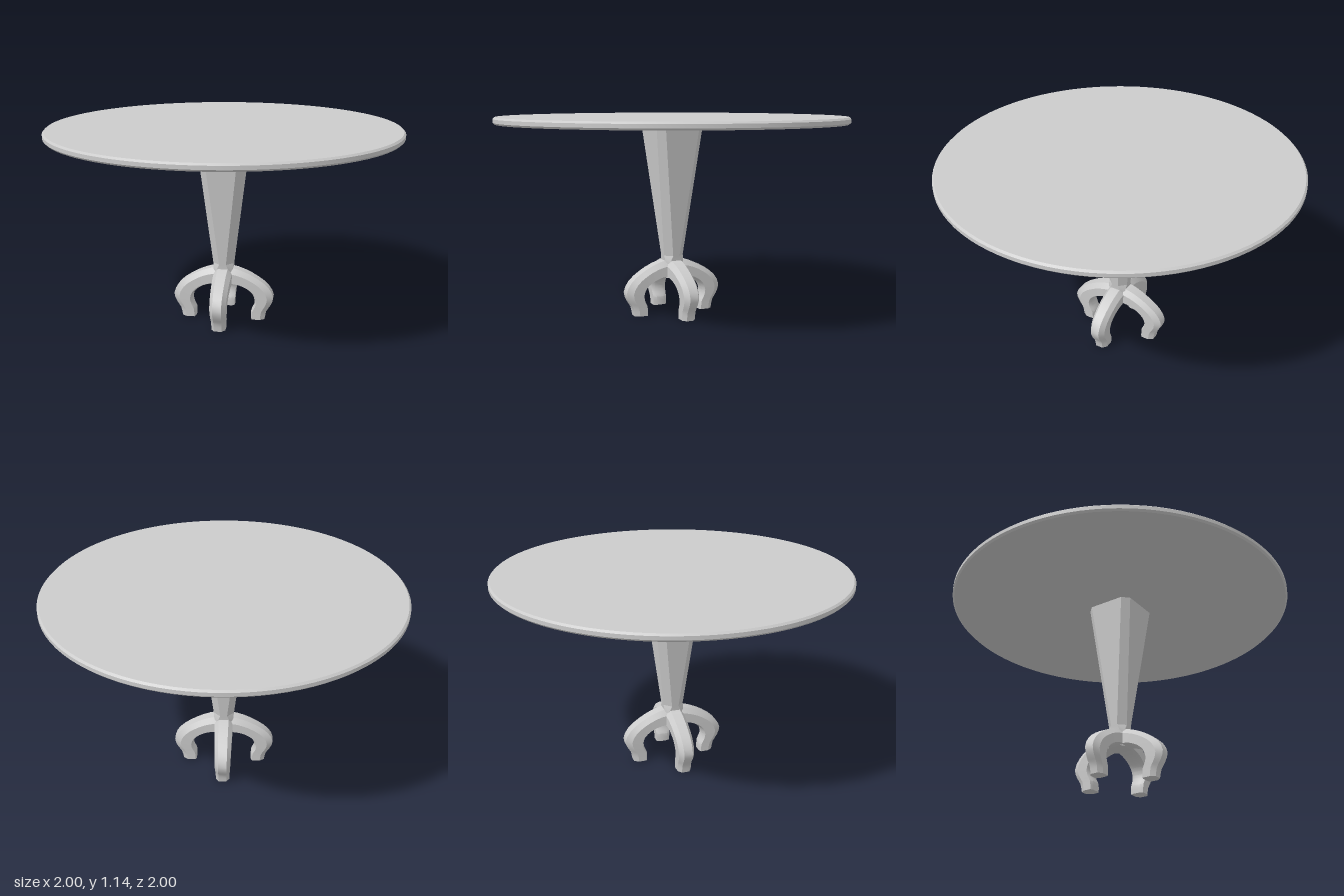
import * as THREE from 'three';
import { toCreasedNormals } from 'three/addons/utils/BufferGeometryUtils.js';

const material = new THREE.MeshStandardMaterial({ color: 0xcccccc });

// Skin a list of equal-sized rings (counter-clockwise about the path) and cap both ends
function loft(rings) {
  const n = rings[0].length;
  const last = (rings.length - 1) * n;
  const index = [];
  for (let i = 0; i < rings.length - 1; i++) {
    for (let j = 0; j < n; j++) {
      const a = i * n + j, b = i * n + (j + 1) % n;
      index.push(a, b, a + n, b, b + n, a + n);
    }
  }
  for (let j = 1; j < n - 1; j++) {
    index.push(0, j + 1, j, last, last + j, last + j + 1);
  }
  const geometry = new THREE.BufferGeometry();
  geometry.setAttribute('position', new THREE.Float32BufferAttribute(rings.flat(2), 3));
  geometry.setIndex(index);
  return toCreasedNormals(geometry, 0.5);
}

// Square section with cut corners: h = half width, f = half width of each flat
function chamferedSquare(y, h, f) {
  return [[f, h], [h, f], [h, -f], [f, -h], [-f, -h], [-h, -f], [-h, f], [-f, h]]
    .map(([x, z]) => [x, y, z]);
}

// Curved leg running out along +x and down to the floor
function legGeometry() {
  const curve = (points) => new THREE.CatmullRomCurve3(
    points.map(([x, y]) => new THREE.Vector3(x, y, 0)));
  const outer = curve([[0, 0.315], [0.05, 0.313], [0.12, 0.293], [0.2, 0.252],
    [0.265, 0.2], [0.295, 0.14], [0.28, 0.09], [0.255, 0.05], [0.245, 0]]);
  const inner = curve([[0, 0.212], [0.05, 0.212], [0.095, 0.205], [0.14, 0.185],
    [0.172, 0.155], [0.186, 0.115], [0.18, 0.08], [0.166, 0.05], [0.165, 0]]);
  const steps = 16;
  const rings = [];
  for (let i = 0; i <= steps; i++) {
    const t = i / steps;
    const o = outer.getPoint(t), n = inner.getPoint(t);
    const w = THREE.MathUtils.lerp(0.056, 0.04, t);
    const f = w * 0.55;
    const at = (k, z) => [...o.clone().lerp(n, k).toArray().slice(0, 2), z];
    rings.push([at(0, f), at(0.32, w), at(0.9, w), at(1, f),
      at(1, -f), at(0.9, -w), at(0.32, -w), at(0, -f)]);
  }
  return loft(rings);
}

export function createModel() {
  const table = new THREE.Group();
  table.name = 'pedestalTable';
  const add = (geometry, name) => {
    const mesh = new THREE.Mesh(geometry, material);
    mesh.name = name;
    table.add(mesh);
    return mesh;
  };

  // Round top with a small bevel on both rims
  const profile = [[0, 1.1], [0.99, 1.1], [1, 1.11], [1, 1.13], [0.99, 1.14], [0, 1.14]]
    .map(([r, y]) => new THREE.Vector2(r, y));
  add(toCreasedNormals(new THREE.LatheGeometry(profile, 96), 0.5), 'tableTop');

  // Tapered column and the hub that joins it to the legs
  add(loft([chamferedSquare(0.34, 0.06, 0.02), chamferedSquare(1.1, 0.145, 0.106)]), 'column');
  add(loft([chamferedSquare(0.212, 0.056, 0.035), chamferedSquare(0.305, 0.056, 0.035),
    chamferedSquare(0.34, 0.06, 0.02)]), 'hub');

  // Four legs, one to each side
  const leg = legGeometry();
  ['leftLeg', 'backLeg', 'rightLeg', 'frontLeg'].forEach((name, i) => {
    add(leg, name).rotation.y = i * Math.PI / 2;
  });
  return table;
}
